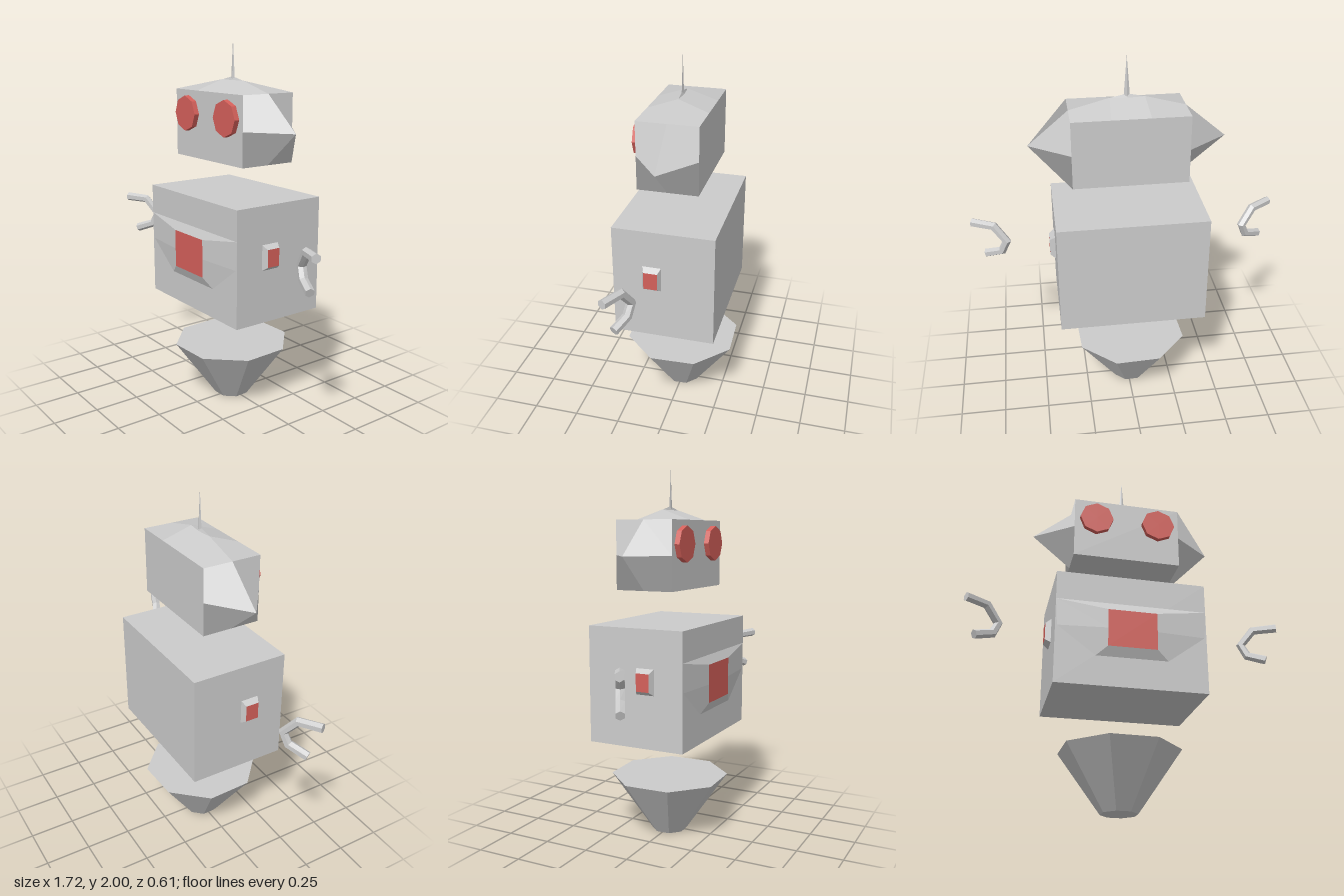
import * as THREE from 'three';

const V = (x, y, z) => new THREE.Vector3(x, y, z);
const grey = new THREE.MeshStandardMaterial({ color: 0xcccccc });
const greyFlat = new THREE.MeshStandardMaterial({ color: 0xcccccc, flatShading: true });
const red = new THREE.MeshStandardMaterial({ color: 0xd4605a, flatShading: true });

function add(parent, name, geometry, material, x = 0, y = 0, z = 0) {
  const mesh = new THREE.Mesh(geometry, material);
  mesh.name = name;
  mesh.position.set(x, y, z);
  parent.add(mesh);
  return mesh;
}

// Faceted surface from four-cornered faces; each face has one normal and is split from corner 0 to 2
function quads(list) {
  const pos = [], nor = [];
  for (const [a, b, c, d] of list) {
    const n = c.clone().sub(a).cross(d.clone().sub(b)).normalize();
    for (const p of [a, b, c, a, c, d]) {
      pos.push(p.x, p.y, p.z);
      nor.push(n.x, n.y, n.z);
    }
  }
  const g = new THREE.BufferGeometry();
  g.setAttribute('position', new THREE.Float32BufferAttribute(pos, 3));
  g.setAttribute('normal', new THREE.Float32BufferAttribute(nor, 3));
  return g;
}

// Sloping rim between two loops of the same length
const band = (outer, inner) => quads(outer.map((p, i) => {
  const j = (i + 1) % outer.length;
  return [p, outer[j], inner[j], inner[i]];
}));

// Counter-clockwise rectangle facing +z
const rect = (w, h, z) => [V(-w, -h, z), V(w, -h, z), V(w, h, z), V(-w, h, z)];

function makeHead() {
  const head = new THREE.Group();
  head.name = 'head';
  const w = 0.3, lo = 1.37, mid = 1.55, hi = 1.73, d = 0.16, ridge = 1.785;
  const P = V(0.513, mid, 0), T = V(w, hi, 0), B = V(w, lo, 0), F = V(w, mid, d), K = V(w, mid, -d);
  // One half: pointed side, front wall and front roof slope
  const half = [
    [P, T, V(w, hi, d), F], [F, V(w, lo, d), B, P],
    [P, B, V(w, lo, -d), K], [K, V(w, hi, -d), T, P],
    [V(-w, lo, d), V(w, lo, d), V(w, hi, d), V(-w, hi, d)],
    [V(-w, hi, d), V(-0.1, hi, d), V(-0.09, ridge, 0), V(-w, hi, 0)],
    [V(-0.1, hi, d), V(0.1, hi, d), V(0.09, ridge, 0), V(-0.09, ridge, 0)],
    [V(0.1, hi, d), V(w, hi, d), V(w, hi, 0), V(0.09, ridge, 0)],
    [V(-w, lo, 0), V(w, lo, 0), V(w, lo, d), V(-w, lo, d)],
  ];
  // The other half is the same turned half a circle
  const turned = half.map(q => q.map(p => V(-p.x, p.y, -p.z)));
  add(head, 'headShell', quads([...half, ...turned]), grey);

  // Eyes
  for (const s of [1, -1]) {
    const eye = add(head, s > 0 ? 'leftEye' : 'rightEye',
      new THREE.CylinderGeometry(0.094, 0.094, 0.03, 8), red, s * 0.177, 1.607, 0.173);
    eye.rotation.x = Math.PI / 2;
  }

  // Antenna on a thin crest
  const crest = add(head, 'antennaCrest', new THREE.ConeGeometry(1, 0.02, 4), greyFlat, 0, 1.794, 0);
  crest.scale.set(0.09, 1, 0.008);
  const antenna = add(head, 'antenna', new THREE.ConeGeometry(1, 0.21, 4), greyFlat, 0.003, 1.895, 0);
  antenna.scale.set(0.016, 1, 0.006);
  return head;
}

function makeBody() {
  const body = new THREE.Group();
  body.name = 'body';
  add(body, 'bodyBox', new THREE.BoxGeometry(0.8, 0.62, 0.54), grey, 0, 0.88, 0);

  // Raised chest surround and red panel
  const outer = [[0.4, 1.03], [-0.4, 1.03], [-0.39, 0.88], [-0.19, 0.73], [0.19, 0.73], [0.39, 0.88]];
  const inner = [[0.13, 0.985], [-0.13, 0.985], [-0.13, 0.88], [-0.13, 0.78], [0.13, 0.78], [0.13, 0.88]];
  add(body, 'chestSurround', band(outer.map(([x, y]) => V(x, y, 0.27)),
    inner.map(([x, y]) => V(x, y, 0.292))), grey);
  add(body, 'chestPanel', new THREE.PlaneGeometry(0.26, 0.205), red, 0, 0.8825, 0.292);

  // Arm sockets with red ends
  for (const s of [1, -1]) {
    const socket = new THREE.Group();
    socket.name = s > 0 ? 'leftSocket' : 'rightSocket';
    socket.position.set(s * 0.4, 0.92, 0.06);
    socket.rotation.y = s * Math.PI / 2;
    add(socket, 'socketRim', band(rect(0.05, 0.068, 0), rect(0.037, 0.047, 0.03)), grey);
    add(socket, 'socketEnd', quads([rect(0.037, 0.047, 0.03)]), red);
    body.add(socket);
  }
  return body;
}

// Hooked claw: a bent six-sided rod with closed ends
function makeClaw(path, slope, z0) {
  const curve = new THREE.CatmullRomCurve3(path.map(([x, y]) => V(x, y, z0 + (Math.abs(x) - 0.66) * slope)));
  curve.getUtoTmapping = u => u; // put one ring exactly on each path point
  const n = path.length - 1, sides = 6;
  const g = new THREE.TubeGeometry(curve, n, 0.025, sides);
  const index = [...g.index.array], last = n * (sides + 1);
  for (let i = 1; i < sides - 1; i++) {
    index.push(0, i, i + 1, last, last + i + 1, last + i);
  }
  g.setIndex(index);
  return g;
}

export function createModel() {
  const robot = new THREE.Group();
  robot.name = 'robot';
  robot.add(makeHead(), makeBody());

  // Claws
  add(robot, 'leftClaw', makeClaw(
    [[0.85, 1.035], [0.73, 1.03], [0.665, 0.945], [0.695, 0.88], [0.785, 0.848]], 0.42, 0.08), greyFlat);
  add(robot, 'rightClaw', makeClaw(
    [[-0.85, 1.035], [-0.74, 1.03], [-0.675, 0.945], [-0.702, 0.88], [-0.795, 0.842]], 0.58, 0.07), greyFlat);

  // Tapered eight-sided base
  const k = 1 / Math.cos(Math.PI / 8);
  const base = add(robot, 'base',
    new THREE.CylinderGeometry(0.3 * k, 0.09 * k, 0.32, 8, 1, false, Math.PI / 8), greyFlat, -0.01, 0.16, 0);
  base.rotation.y = 0.04;
  return robot;
}
